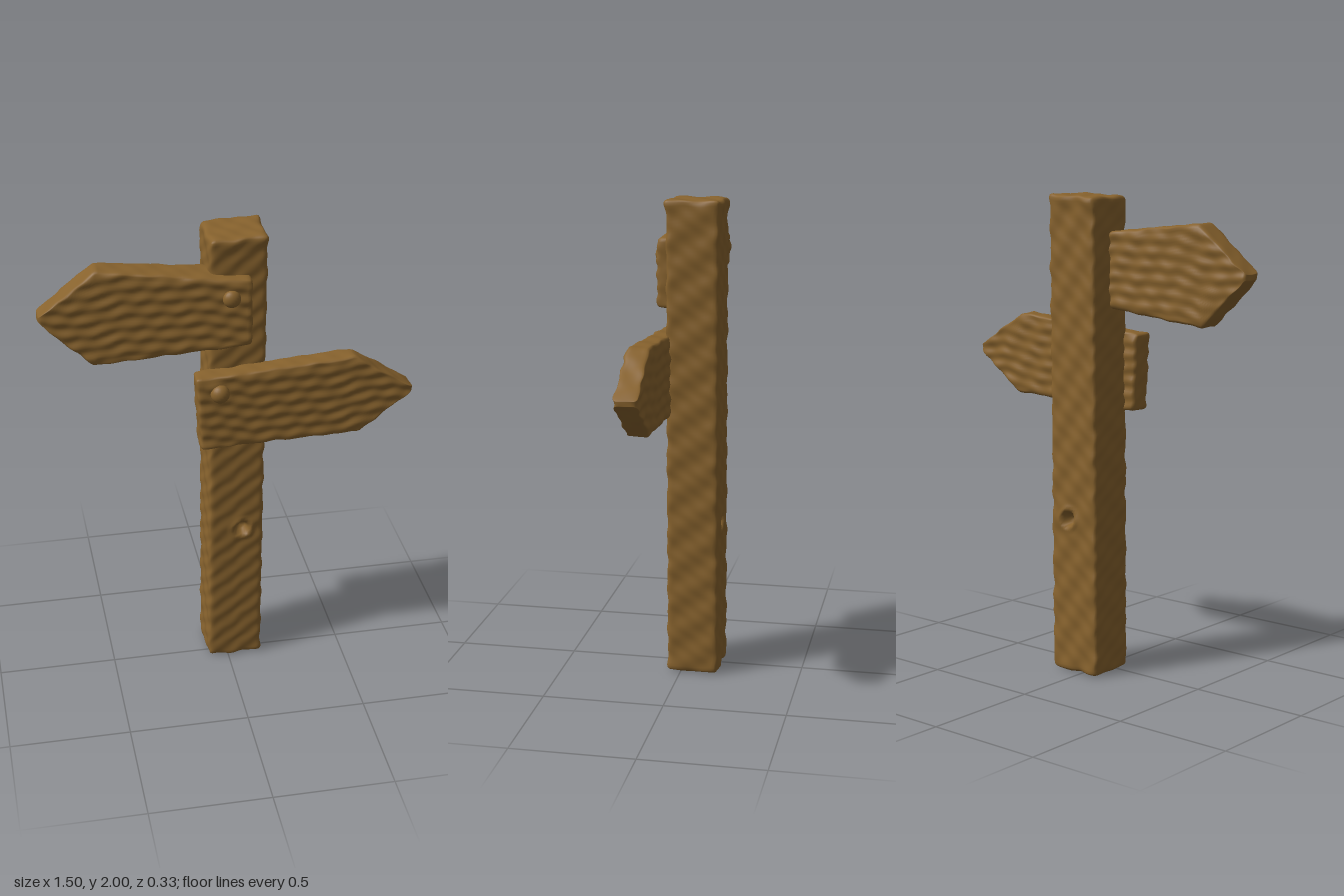
import * as THREE from 'three';
import { mergeVertices } from 'three/addons/utils/BufferGeometryUtils.js';

const wood = new THREE.MeshStandardMaterial({ color: 0x87622d });
wood.name = 'brown wood';

const { lerp, clamp, smoothstep } = THREE.MathUtils;

// Lumpy hand-hewn offset, continuous in space so seams stay closed
function roughen(p, a) {
  const { x, y, z } = p;
  p.x += a * (Math.sin(y * 41 + z * 33) + 0.7 * Math.sin(y * 87 - z * 61 + 1.3));
  p.y += a * (Math.sin(x * 37 + z * 45 + 2) + 0.6 * Math.sin(x * 79 - z * 52));
  p.z += a * (Math.sin(x * 47 + y * 35 + 0.6) + 0.8 * Math.sin(x * 58 - y * 74 + 2.1));
}

// Subdivided block with worn edges, every vertex then moved by a rule
function hewnBlock(name, size, segments, radius, rule) {
  const geo = new THREE.BoxGeometry(...size, ...segments);
  geo.deleteAttribute('uv');
  geo.deleteAttribute('normal');
  const merged = mergeVertices(geo, 1e-4);
  const pos = merged.attributes.position;
  const half = new THREE.Vector3(...size).multiplyScalar(0.5);
  const limit = half.clone().subScalar(radius);
  const p = new THREE.Vector3(), inner = new THREE.Vector3();
  for (let i = 0; i < pos.count; i++) {
    p.fromBufferAttribute(pos, i);
    inner.copy(p).clamp(limit.clone().negate(), limit);
    p.sub(inner).setLength(radius).add(inner);
    rule(p, half);
    pos.setXYZ(i, p.x, p.y, p.z);
  }
  merged.computeVertexNormals();
  const mesh = new THREE.Mesh(merged, wood);
  mesh.name = name;
  return mesh;
}

// Square post, slightly leaning, with a knot hole front and back
function makePost() {
  return hewnBlock('post', [0.235, 1.985, 0.215], [22, 165, 18], 0.018, (p, half) => {
    const side = p.z / half.z;
    const t = p.y / half.y;
    p.x = p.x * (1 - 0.02 * side) + 0.036 + 0.006 * t;
    p.y += 1.003 + 0.04 * (p.x - 0.04) * smoothstep(t, 0.8, 1);
    p.z -= 0.052;
    p.z += 0.008 * smoothstep(t, 0.93, 1) * side;
    const knot = Math.hypot(p.x - 0.06, p.y - 0.665);
    const dent = 1 - smoothstep(knot, 0.012, 0.036);
    const rim = Math.exp(-(((knot - 0.042) / 0.012) ** 2));
    if (Math.abs(side) > 0.95) p.z += Math.sign(side) * (0.006 * rim - 0.045 * dent);
    roughen(p, 0.0022);
  });
}

// Point on a three-point edge, its middle point lying at parameter mid
function along(edge, mid, u) {
  const [a, b, c] = edge;
  const [from, to, k] = u < mid ? [a, b, u / mid] : [b, c, (u - mid) / (1 - mid)];
  return [lerp(from[0], to[0], k), lerp(from[1], to[1], k)];
}

// Arrow board between a top and a bottom edge, with wavy wood grain
function makeBoard(name, { top, bottom, mid, back, front }) {
  const length = top[2][0] - top[0][0];
  return hewnBlock(name, [length, 0.34, 0.1], [72, 36, 8], 0.014, (p, half) => {
    const u = clamp(p.x / half.x / 2 + 0.5, 0, 1);
    const v = p.y / half.y / 2 + 0.5;
    const w = p.z / half.z / 2 + 0.5;
    const [tx, ty] = along(top, mid, u);
    const [bx, by] = along(bottom, mid, u);
    p.set(lerp(bx, tx, v), lerp(by, ty, v),
      lerp(lerp(back[0], back[1], u), lerp(front[0], front[1], u), w));
    const grain = Math.sin(p.y * 115 + 2.2 * Math.sin(p.x * 7) + 0.8 * Math.sin(p.x * 19));
    p.z += 0.0028 * grain * (w - 0.5) * 2;
    roughen(p, 0.0016);
  });
}

// Domed wooden peg
function makePeg(name, x, y, z, r, depth) {
  const peg = new THREE.Mesh(new THREE.SphereGeometry(r, 20, 14), wood);
  peg.scale.z = depth / r;
  peg.position.set(x, y, z);
  peg.name = name;
  return peg;
}

export function createModel() {
  const model = new THREE.Group();
  model.name = 'signpost';
  model.add(makePost());

  // Upper board points to -x, lower board to +x
  model.add(makeBoard('upperBoard', {
    top: [[-0.746, 1.712], [-0.52, 1.896], [0.088, 1.836]],
    bottom: [[-0.746, 1.688], [-0.54, 1.492], [0.09, 1.554]],
    mid: 0.26, back: [-0.06, -0.055], front: [0.03, 0.108],
  }));
  model.add(makeBoard('lowerBoard', {
    top: [[-0.142, 1.432], [0.505, 1.478], [0.746, 1.322]],
    bottom: [[-0.126, 1.11], [0.53, 1.13], [0.746, 1.3]],
    mid: 0.73, back: [0.035, 0.045], front: [0.13, 0.137],
  }));

  model.add(makePeg('upperPeg', 0.005, 1.762, 0.1, 0.036, 0.026));
  model.add(makePeg('lowerPeg', -0.048, 1.365, 0.131, 0.039, 0.033));
  return model;
}
